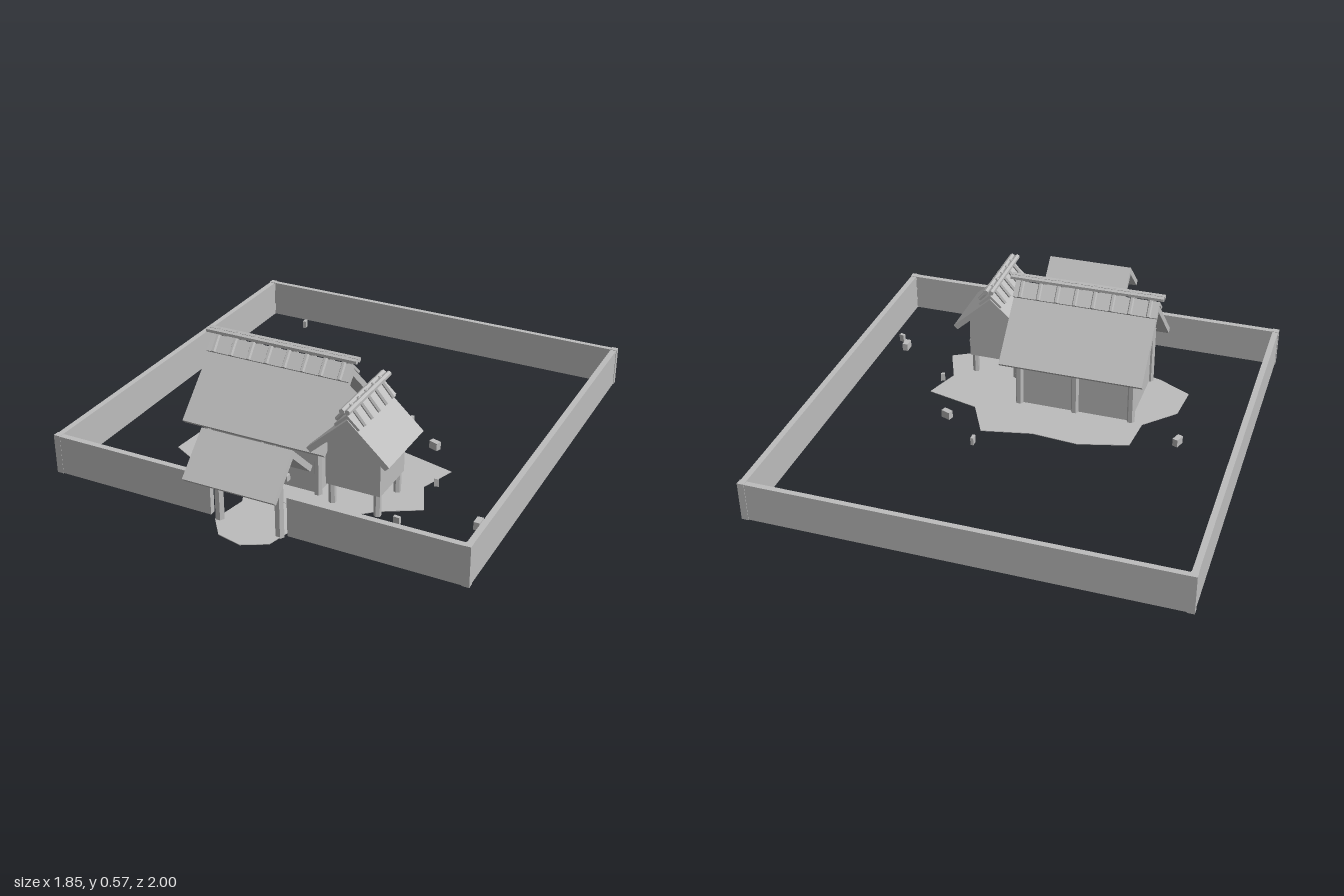
import * as THREE from 'three';

export function createModel() {
  const model = new THREE.Group();
  const clay = new THREE.MeshStandardMaterial({ color: 0xbcbcbc, flatShading: true });
  clay.name = 'plain grey';

  const add = (parent, name, geometry, x = 0, y = 0, z = 0) => {
    const mesh = new THREE.Mesh(geometry, clay);
    mesh.name = name;
    mesh.position.set(x, y, z);
    parent.add(mesh);
    return mesh;
  };
  const group = (name, x = 0, z = 0, turn = 0) => {
    const g = new THREE.Group();
    g.name = name;
    g.position.set(x, 0, z);
    g.rotation.y = turn;
    model.add(g);
    return g;
  };
  // box given by its limits
  const block = (parent, name, x0, x1, y0, y1, z0, z1) =>
    add(parent, name, new THREE.BoxGeometry(x1 - x0, y1 - y0, z1 - z0), (x0 + x1) / 2, (y0 + y1) / 2, (z0 + z1) / 2);
  const post = (parent, name, x, z, r, y0, y1) =>
    add(parent, name, new THREE.CylinderGeometry(r, r, y1 - y0, 6), x, (y0 + y1) / 2, z);
  // round bar between two points
  const bar = (parent, name, a, b, r) => {
    const from = new THREE.Vector3(...a), to = new THREE.Vector3(...b);
    const dir = to.clone().sub(from);
    const mesh = add(parent, name, new THREE.CylinderGeometry(r, r, dir.length(), 6));
    mesh.position.copy(from).add(to).multiplyScalar(0.5);
    mesh.quaternion.setFromUnitVectors(new THREE.Vector3(0, 1, 0), dir.normalize());
  };
  // cross-section drawn in x, y and run along z
  const prism = (parent, name, points, length) => {
    const shape = new THREE.Shape(points.map(p => new THREE.Vector2(...p)));
    const geometry = new THREE.ExtrudeGeometry(shape, { depth: length, bevelEnabled: false });
    geometry.translate(0, 0, -length / 2);
    return add(parent, name, geometry);
  };
  const roof = (parent, name, half, top, eave, length, t = 0.018) =>
    prism(parent, name, [[0, top], [-half, eave], [t - half, eave - t], [0, top - 2 * t], [half - t, eave - t], [half, eave]], length);
  const gableBody = (parent, name, half, base, eave, top, length) =>
    prism(parent, name, [[-half, base], [half, base], [half, eave], [0, top], [-half, eave]], length);
  // ridge cap, twin poles and the crossed saddles over them
  const ridge = (parent, top, length, count, spacing) => {
    roof(parent, 'ridgeCap', 0.056, top - 0.036, top - 0.088, length + 0.006, 0.008);
    for (const s of [-1, 1]) {
      bar(parent, 'ridgePole', [s * 0.012, top - 0.014, -length / 2 - 0.023], [s * 0.012, top - 0.014, length / 2 + 0.023], 0.012);
      for (let i = 0; i < count; i++) {
        const z = (i - (count - 1) / 2) * spacing;
        bar(parent, 'ridgeSaddle', [-s * 0.004, top - 0.006, z], [s * 0.062, top - 0.084, z], 0.01);
      }
    }
  };
  const sheet = (name, points, y) => {
    const shape = new THREE.Shape(points.map(([x, z]) => new THREE.Vector2(x, -z)));
    const geometry = new THREE.ExtrudeGeometry(shape, { depth: 0.003, bevelEnabled: false });
    geometry.rotateX(-Math.PI / 2);
    add(model, name, geometry, 0, y, 0);
  };

  // compound wall, open at the gate
  const wall = group('compoundWall');
  block(wall, 'backWall', -0.911, 0.911, 0.012, 0.185, -0.998, -0.974);
  block(wall, 'frontWallRight', -0.911, -0.175, 0.012, 0.185, 0.822, 0.848);
  block(wall, 'frontWallLeft', 0.17, 0.911, 0.012, 0.185, 0.822, 0.848);
  for (const s of [-1, 1]) {
    const x = s * 0.911;
    block(wall, 'sideWall', x - 0.013, x + 0.013, 0.012, 0.185, -0.986, 0.835);
    for (const z of [-0.986, 0.835]) block(wall, 'cornerPost', x - 0.015, x + 0.015, 0.01, 0.187, z - 0.014, z + 0.014);
  }

  // gate
  const gate = group('gate', 0, 0.845, Math.PI / 2);
  roof(gate, 'gateRoof', 0.155, 0.4, 0.252, 0.4);
  for (const s of [-1, 1]) post(gate, 'gatePost', 0, s * 0.135, 0.02, 0, 0.29);
  block(gate, 'gateLintel', -0.012, 0.012, 0.262, 0.288, -0.18, 0.18);

  // main house, ridge along x
  const house = group('mainHouse', -0.127, 0.332, Math.PI / 2);
  roof(house, 'mainRoof', 0.269, 0.515, 0.25, 0.652);
  ridge(house, 0.566, 0.652, 8, 0.0836);
  const body = prism(house, 'mainWalls', [[-0.18, 0.01], [0.18, 0.01], [0.18, 0.302], [0, 0.478], [-0.18, 0.302]], 0.52);
  body.position.z = -0.003;
  for (const x of [-0.18, 0.18])
    for (const z of [-0.263, -0.003, 0.257]) post(house, 'housePost', x, z, 0.018, 0, 0.29);
  block(model, 'door', -0.175, -0.065, 0.025, 0.2, 0.512, 0.52);

  // raised side house, ridge along z
  const wing = group('sideHouse', 0.31, 0.446);
  roof(wing, 'sideRoof', 0.18, 0.44, 0.275, 0.33);
  ridge(wing, 0.5, 0.33, 5, 0.065);
  gableBody(wing, 'sideWalls', 0.12, 0.1, 0.294, 0.404, 0.23);
  for (const x of [-0.1, 0.1])
    for (const z of [-0.095, 0.095]) post(wing, 'stilt', x, z, 0.016, 0, 0.11);

  // trodden ground
  sheet('yardGround', [[-0.59, 0.445], [-0.575, 0.275], [-0.445, 0.14], [-0.43, -0.03], [-0.21, -0.09], [0, -0.073],
    [0.222, -0.12], [0.31, 0.05], [0.55, 0.11], [0.495, 0.27], [0.565, 0.435], [0.4, 0.53], [0.29, 0.63], [0.245, 0.692],
    [0.15, 0.665], [-0.05, 0.61], [-0.2, 0.6], [-0.44, 0.525]], 0.006);
  sheet('gateGround', [[-0.16, 0.61], [0.02, 0.58], [0.15, 0.66], [0.16, 0.8], [0.13, 0.92], [0.03, 0.975],
    [-0.08, 0.95], [-0.15, 0.86], [-0.12, 0.7]], 0.004);

  // loose stones: x, z, width, depth, turn
  const stones = [[-0.69, -0.915, 0.016, 0.026, 0.1], [-0.625, 0.053, 0.025, 0.044, -0.35], [0.225, -0.21, 0.014, 0.03, 0],
    [0.405, -0.053, 0.044, 0.026, -0.35], [0.533, 0.23, 0.02, 0.013, 0.4], [0.803, 0.445, 0.026, 0.046, 0],
    [0.85, 0.505, 0.025, 0.015, -0.3], [0.506, 0.565, 0.028, 0.014, -0.1]];
  for (const [x, z, w, d, turn] of stones)
    add(model, 'stone', new THREE.BoxGeometry(w, 0.036, d), x, 0.018, z).rotation.y = turn;

  return model;
}
